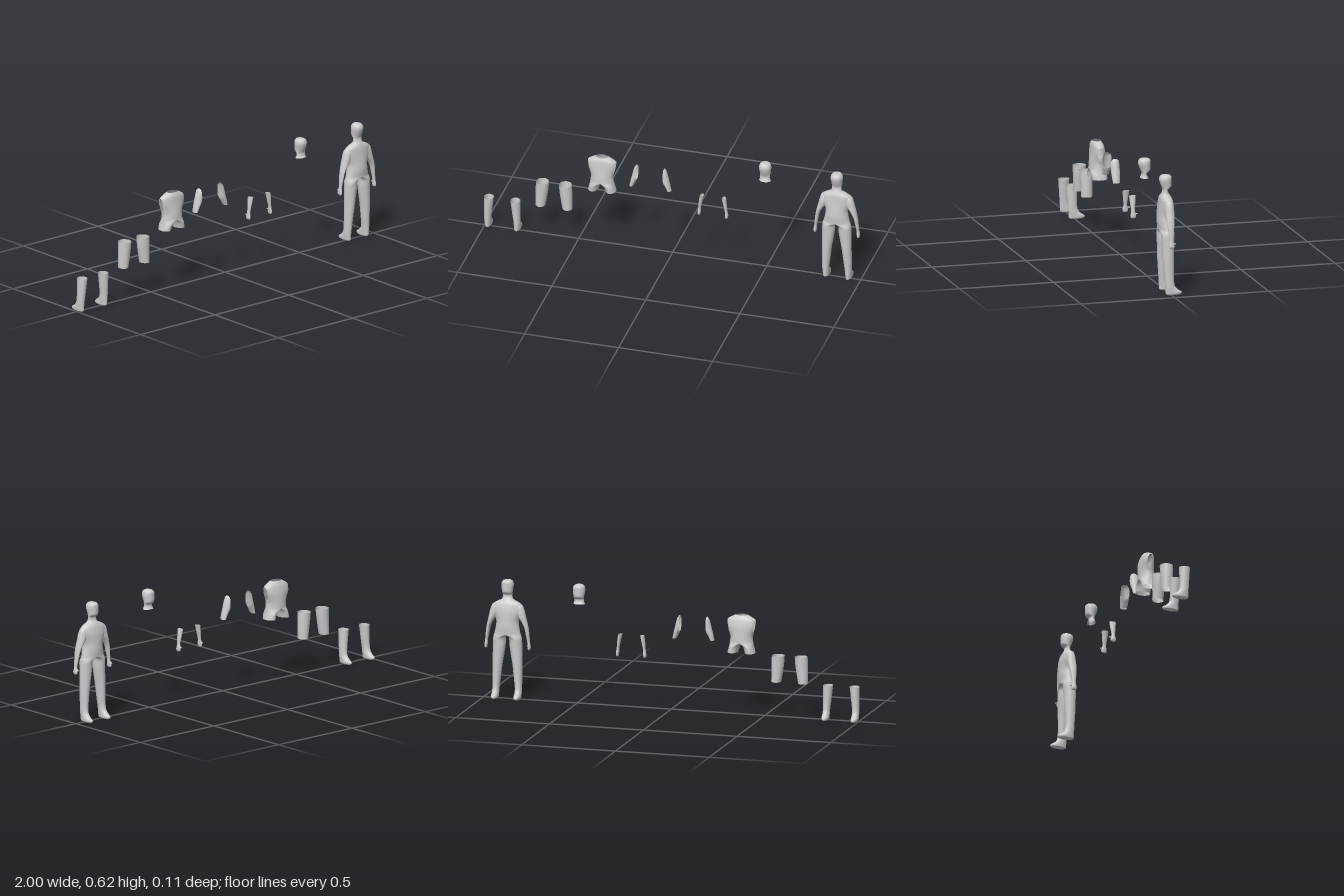
import * as THREE from 'three';
import { mergeGeometries, mergeVertices } from 'three/addons/utils/BufferGeometryUtils.js';

const N = 32;
const skin = new THREE.MeshStandardMaterial({ color: 0xcccccc, side: THREE.DoubleSide });

// Cross-sections, top to bottom: [y, outer x, inner x, back z, front z, middle x (optional)]
const HEAD = [
  [0.62, 0.008, -0.008, 0.024, 0.006], [0.617, 0.02, -0.02, 0.037, -0.009],
  [0.608, 0.029, -0.029, 0.045, -0.017], [0.593, 0.032, -0.032, 0.047, -0.018],
  [0.575, 0.030, -0.030, 0.042, -0.018], [0.56, 0.028, -0.028, 0.036, -0.017],
  [0.551, 0.027, -0.027, 0.032, -0.010], [0.543, 0.0255, -0.0255, 0.029, 0.001],
  [0.53, 0.026, -0.026, 0.031, 0.001], [0.517, 0.031, -0.031, 0.037, -0.006],
];
const TORSO = [
  [0.517, 0.031, -0.031, 0.037, -0.006], [0.505, 0.055, -0.055, 0.042, -0.013],
  [0.49, 0.076, -0.076, 0.045, -0.019], [0.46, 0.08, -0.08, 0.047, -0.025],
  [0.43, 0.067, -0.067, 0.05, -0.027], [0.405, 0.059, -0.059, 0.053, -0.028],
  [0.375, 0.061, -0.061, 0.055, -0.029],
];
const HIPS = [0.338, 0.069, -0.069, 0.051, -0.026];
const THIGH = [
  [0.316, 0.075, 0.009, 0.049, -0.021], [0.28, 0.077, 0.011, 0.047, -0.019],
  [0.23, 0.078, 0.018, 0.044, -0.017], [0.178, 0.078, 0.027, 0.042, -0.016],
];
const SHIN = [
  [0.178, 0.078, 0.027, 0.042, -0.016], [0.1, 0.078, 0.036, 0.036, -0.014],
  [0.06, 0.078, 0.041, 0.033, -0.016], [0.04, 0.078, 0.042, 0.032, -0.023],
  [0.026, 0.078, 0.042, 0.031, -0.038], [0.014, 0.078, 0.042, 0.031, -0.055],
  [0.005, 0.076, 0.043, 0.029, -0.053], [0, 0.07, 0.049, 0.021, -0.044],
];
const UPPER_ARM = [
  [0.492, 0.076, 0.058, 0.022, 0.003], [0.481, 0.084, 0.045, 0.032, -0.008],
  [0.46, 0.091, 0.042, 0.036, -0.011], [0.43, 0.098, 0.055, 0.036, -0.011],
  [0.405, 0.104, 0.073, 0.035, -0.008], [0.372, 0.111, 0.09, 0.032, -0.004],
];
const FOREARM = [
  [0.372, 0.111, 0.09, 0.032, -0.004], [0.335, 0.116, 0.098, 0.028, 0],
  [0.3, 0.119, 0.105, 0.024, 0.004], [0.285, 0.121, 0.106, 0.025, 0.002],
  [0.27, 0.123, 0.107, 0.028, -0.002], [0.26, 0.121, 0.109, 0.026, 0],
  [0.256, 0.118, 0.112, 0.02, 0.007],
];

// Smooth skin through cross-sections; side -1 mirrors it, caps close the ends
function loft(rows, { side = 1, top = false, bottom = false, steps = 4 } = {}) {
  const full = rows.map(r => (r.length > 5 ? r : [...r, (r[1] + r[2]) / 2]));
  const curve = new THREE.CubicInterpolant(full.map((_, i) => i), full.flat(), 6);
  const rings = (full.length - 1) * steps;
  const pos = [], index = [];
  for (let i = 0; i <= rings; i++) {
    const [y, xo, xi, zb, zf, cx] = curve.evaluate(i / steps);
    for (let j = 0; j < N; j++) {
      const a = (j / N) * Math.PI * 2, c = Math.cos(a);
      const x = cx + (c > 0 ? c * (xo - cx) : c * (cx - xi));
      pos.push(side * x, y, (zb + zf) / 2 + (Math.sin(a) * (zb - zf)) / 2);
    }
  }
  const tri = (a, b, c) => (side > 0 ? index.push(a, b, c) : index.push(a, c, b));
  for (let i = 0; i < rings; i++) for (let j = 0; j < N; j++) {
    const a = i * N + j, b = i * N + ((j + 1) % N);
    tri(a, b, a + N);
    tri(b, b + N, a + N);
  }
  const cap = (row, start, flip) => {
    const mid = pos.length / 3;
    pos.push((side * (row[1] + row[2])) / 2, row[0], (row[3] + row[4]) / 2);
    for (let j = 0; j < N; j++) {
      const a = start + j, b = start + ((j + 1) % N);
      flip ? tri(mid, a, b) : tri(mid, b, a);
    }
  };
  if (top) cap(rows[0], 0, false);
  if (bottom) cap(rows[rows.length - 1], rings * N, true);
  const geo = new THREE.BufferGeometry();
  geo.setAttribute('position', new THREE.Float32BufferAttribute(pos, 3));
  geo.setIndex(index);
  geo.computeVertexNormals();
  return geo;
}

// Cut an opening: pull |x| to the limit and drop faces lying wholly on the cut
function cut(geo, limit) {
  const p = geo.attributes.position, hit = [];
  for (let i = 0; i < p.count; i++) {
    const x = p.getX(i), ax = limit(Math.abs(x), p.getY(i));
    hit[i] = ax !== Math.abs(x);
    if (hit[i]) p.setX(i, Math.sign(x) * ax);
  }
  const kept = [], old = geo.index.array;
  for (let i = 0; i < old.length; i += 3) {
    const f = [old[i], old[i + 1], old[i + 2]];
    if (!f.every(v => hit[v])) kept.push(...f);
  }
  geo.setIndex(kept);
  geo.computeVertexNormals();
  return geo;
}

// Weld several skins into one smooth surface
function weld(list) {
  list.forEach(g => g.deleteAttribute('normal'));
  const geo = mergeVertices(mergeGeometries(list), 1e-5);
  geo.computeVertexNormals();
  return geo;
}

function add(parent, name, geo, x = 0) {
  const mesh = new THREE.Mesh(geo, skin);
  mesh.name = name;
  mesh.position.x = x;
  parent.add(mesh);
  return mesh;
}

function addThumb(parent, side, x = 0) {
  const thumb = add(parent, 'thumb', new THREE.CapsuleGeometry(0.0035, 0.012, 4, 10), x + side * 0.114);
  thumb.position.set(x + side * 0.114, 0.281, -0.001);
  thumb.rotation.x = Math.PI / 2 - 0.45;
}

function section(root, name, x) {
  const g = new THREE.Group();
  g.name = name;
  g.position.x = x;
  root.add(g);
  return g;
}

// Half of a ring, with its inner edge lying on the crotch seam
const halfRing = ([y, xo, , zb, zf]) => [y, xo, 0, zb, zf, 0];

export function createModel() {
  const root = new THREE.Group();
  const sides = [1, -1];

  // Complete figure
  const figure = section(root, 'wholeFigure', 0.876);
  const legRows = [halfRing(HIPS), ...THIGH, ...SHIN.slice(1)];
  add(figure, 'body', weld([
    loft([...HEAD, ...TORSO.slice(1), HIPS], { top: true }),
    ...sides.map(side => loft(legRows, { side, bottom: true })),
  ]));
  for (const side of sides) {
    add(figure, 'arm', loft([...UPPER_ARM, ...FOREARM.slice(1)], { side, top: true, bottom: true }));
    addThumb(figure, side);
  }

  // Separate head with open neck
  add(section(root, 'headPart', 0.495), 'head', loft(HEAD, { top: true }));

  // Separate forearms with hands
  const forearms = section(root, 'forearmParts', 0.217);
  for (const side of sides) {
    add(forearms, 'forearm', loft(FOREARM, { side, bottom: true }), -side * 0.042);
    addThumb(forearms, side, -side * 0.042);
  }

  // Separate upper arms, open at shoulder and elbow
  const upperArms = section(root, 'upperArmParts', -0.115);
  for (const side of sides) {
    add(upperArms, 'upperArm', cut(loft(UPPER_ARM, { side, top: true }), ax => Math.max(ax, 0.071)));
  }

  // Separate torso, open at neck, shoulders and legs
  const waist = TORSO[TORSO.length - 1];
  const stub = [halfRing(waist), [0.35, 0.065, 0.011, 0.054, -0.029], [0.32, 0.073, 0.02, 0.05, -0.028]];
  const torso = weld([loft(TORSO), ...sides.map(side => loft(stub, { side }))]);
  add(section(root, 'torsoPart', -0.372), 'torso',
    cut(torso, (ax, y) => (y > 0.42 ? Math.min(ax, 0.061 + (y - 0.42) * 0.19) : ax)));

  // Separate thighs and lower legs
  const thighs = section(root, 'thighParts', -0.628);
  const shins = section(root, 'lowerLegParts', -0.904);
  for (const side of sides) {
    add(thighs, 'thigh', loft(THIGH, { side }), side * 0.019);
    add(shins, 'lowerLeg', loft(SHIN, { side, bottom: true }), side * 0.018);
  }
  return root;
}
